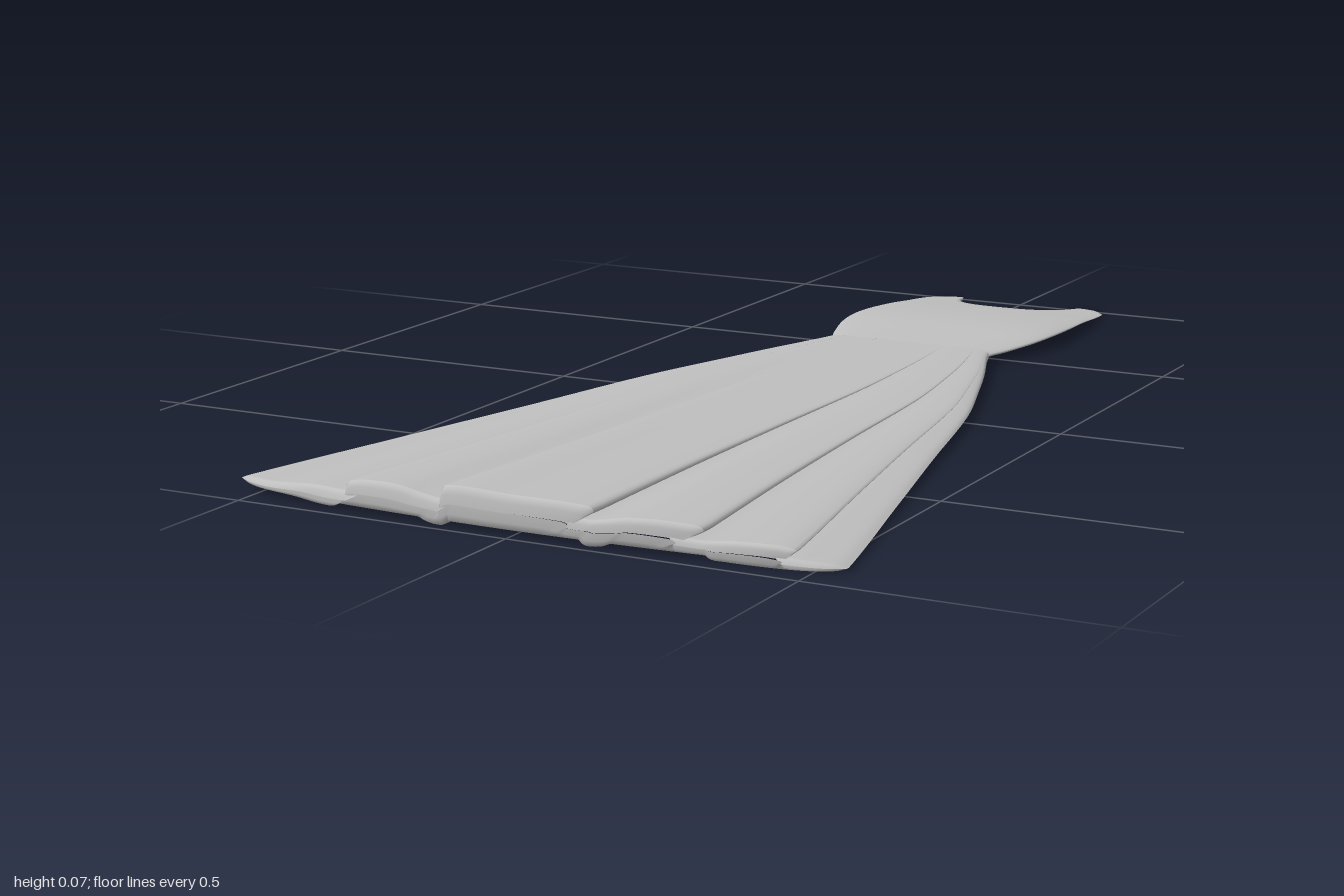
import * as THREE from 'three';

// Smooth interpolation through a short table of [position, value] pairs
function curve(table) {
  const slope = (i) => {
    const a = table[Math.max(i - 1, 0)], b = table[Math.min(i + 1, table.length - 1)];
    return (b[1] - a[1]) / (b[0] - a[0]);
  };
  return (p) => {
    let i = 0;
    while (i < table.length - 2 && p > table[i + 1][0]) i++;
    const [x0, y0] = table[i], [x1, y1] = table[i + 1], h = x1 - x0;
    const t = Math.min(Math.max((p - x0) / h, 0), 1), s = 1 - t;
    return s * s * (1 + 2 * t) * y0 + t * t * (3 - 2 * t) * y1
      + h * (s * s * t * slope(i) - t * t * s * slope(i + 1));
  };
}

// Half width, upper and lower height along the dress
const width = curve([[-1, 0.185], [-0.95, 0.2], [-0.85, 0.21], [-0.7, 0.22], [-0.6, 0.212],
  [-0.5, 0.185], [-0.45, 0.168], [-0.4, 0.186], [-0.3, 0.225], [-0.2, 0.26], [0, 0.325],
  [0.3, 0.395], [0.6, 0.467], [0.93, 0.545], [1, 0.55]]);
const topY = curve([[-1, 0.006], [-0.9, 0.016], [-0.8, 0.027], [-0.65, 0.036], [-0.5, 0.031], [-0.4, 0.027]]);
const bottomY = curve([[-1, 0.001], [-0.9, 0.006], [-0.8, 0.011], [-0.65, 0.012], [-0.45, 0.006], [-0.4, 0.005]]);

// Height of the lens-shaped cross-section; side is +1 above and -1 below
function lensY(u, z, side) {
  const mid = (topY(z) + bottomY(z)) / 2, half = (topY(z) - bottomY(z)) / 2;
  return mid + side * half * Math.sqrt(Math.max(0, 1 - u ** 4));
}

// Closed rings joined into one smooth skin
function loft(rings) {
  const n = rings[0].length, index = [];
  for (let r = 0; r < rings.length - 1; r++) {
    for (let i = 0; i < n; i++) {
      const a = r * n + i, c = r * n + (i + 1) % n;
      index.push(a, a + n, c, c, a + n, c + n);
    }
  }
  const geometry = new THREE.BufferGeometry();
  geometry.setAttribute('position', new THREE.Float32BufferAttribute(rings.flat(2), 3));
  geometry.setIndex(index);
  geometry.computeVertexNormals();
  return geometry;
}

// Draws a ring's ends together: each upper point meets the lower one opposite
function pinch(ring, amount, dz) {
  return ring.map((p, i) => {
    const q = ring[ring.length - 1 - i];
    return [p[0] + (q[0] - p[0]) * amount / 2, p[1] + (q[1] - p[1]) * amount / 2, p[2] + dz];
  });
}

// Samples a smooth line through a few section points
function section(points, count) {
  const path = points.map(([x, y]) => new THREE.Vector3(x, y, 0));
  return new THREE.CatmullRomCurve3(path, false, 'centripetal').getSpacedPoints(count);
}

function bodiceGeometry() {
  // Scooped neckline between two short straps
  const neck = curve([[0, -0.888], [0.25, -0.893], [0.42, -0.91], [0.55, -0.94], [0.64, -0.975],
    [0.69, -0.997], [0.78, -1], [0.9, -0.99], [1, -0.955]]);
  const N = 100, rows = 32, rings = [];
  for (let r = 0; r <= rows; r++) {
    const ring = [];
    for (const side of [1, -1]) {
      for (let i = 0; i <= N; i++) {
        const u = side * Math.sin((i / N - 0.5) * Math.PI);
        const z = THREE.MathUtils.lerp(neck(Math.abs(u)), -0.44, r / rows);
        ring.push([u * width(z), lensY(u, z, side), z]);
      }
    }
    rings.push(ring);
  }
  rings.unshift(pinch(rings[0], 1, 0));
  return loft(rings);
}

function skirtGeometry() {
  // Hem section: a centre panel over stepped pleats, the outermost only on the left
  const N = 240, rows = 56, hemWidth = 0.545;
  const upper = section([[-0.545, 0.018], [-0.53, 0.023], [-0.45, 0.028], [-0.37, 0.035], [-0.31, 0.034],
    [-0.265, 0.038], [-0.295, 0.042], [-0.304, 0.048], [-0.285, 0.054], [-0.21, 0.057], [-0.16, 0.049],
    [-0.12, 0.045], [-0.095, 0.05], [-0.12, 0.056], [-0.123, 0.064], [-0.1, 0.069], [0, 0.067],
    [0.11, 0.066], [0.14, 0.062], [0.143, 0.055], [0.105, 0.047], [0.14, 0.044], [0.2, 0.054],
    [0.28, 0.056], [0.323, 0.051], [0.324, 0.045], [0.27, 0.038], [0.32, 0.033], [0.38, 0.037],
    [0.45, 0.036], [0.472, 0.03], [0.435, 0.023], [0.48, 0.018], [0.53, 0.012], [0.545, 0.007]], N);
  // Hollows underneath the centre panel and the pleat on each side of it
  const lower = section([[0.545, 0.007], [0.53, 0.003], [0.36, 0.003], [0.335, 0.005], [0.325, 0.014],
    [0.29, 0.02], [0.22, 0.022], [0.18, 0.014], [0.155, 0.004], [0.125, 0.003], [0.116, 0.012],
    [0.114, 0.024], [0.095, 0.03], [0, 0.03], [-0.09, 0.03], [-0.112, 0.024], [-0.114, 0.012],
    [-0.125, 0.003], [-0.155, 0.004], [-0.18, 0.014], [-0.22, 0.022], [-0.28, 0.02], [-0.32, 0.014],
    [-0.335, 0.005], [-0.36, 0.004], [-0.42, 0.009], [-0.53, 0.013], [-0.545, 0.018]], N);
  const rings = [];
  for (let r = 0; r <= rows; r++) {
    const t = Math.sin(r / rows * Math.PI / 2), gather = (1 - t) ** 2;
    const lip = THREE.MathUtils.smoothstep(t, 0.97, 0.99);
    rings.push([...upper, ...lower].map((p, i) => {
      const u = THREE.MathUtils.clamp(p.x / hemWidth, -1, 1), side = i <= N ? 1 : -1;
      const hem = 0.982 - 0.035 * u * u - 0.025 * Math.abs(u) ** 12;
      const z = THREE.MathUtils.lerp(-0.45, hem, t);
      const x = u * (1 + gather * (1 - Math.abs(u))) * width(z);
      // The hem turns down into a lip in front of the hollows
      const drop = side < 0 && Math.abs(u) < 0.7 ? lip * Math.max(p.y - 0.01, 0) : 0;
      return [x, THREE.MathUtils.lerp(lensY(u, -0.45, side), p.y - drop, t), z];
    }));
  }
  // Rounded, closed hem
  const last = rings[rows];
  rings.push(pinch(last, 0.12, 0.005), pinch(last, 0.45, 0.008), pinch(last, 1, 0.009));
  return loft(rings);
}

export function createModel() {
  const fabric = new THREE.MeshStandardMaterial({ color: 0xbfbfbf });
  fabric.name = 'grey fabric';
  const dress = new THREE.Group();
  dress.name = 'dress';
  for (const [name, geometry] of [['bodice', bodiceGeometry()], ['pleatedSkirt', skirtGeometry()]]) {
    const mesh = new THREE.Mesh(geometry, fabric);
    mesh.name = name;
    dress.add(mesh);
  }
  return dress;
}
